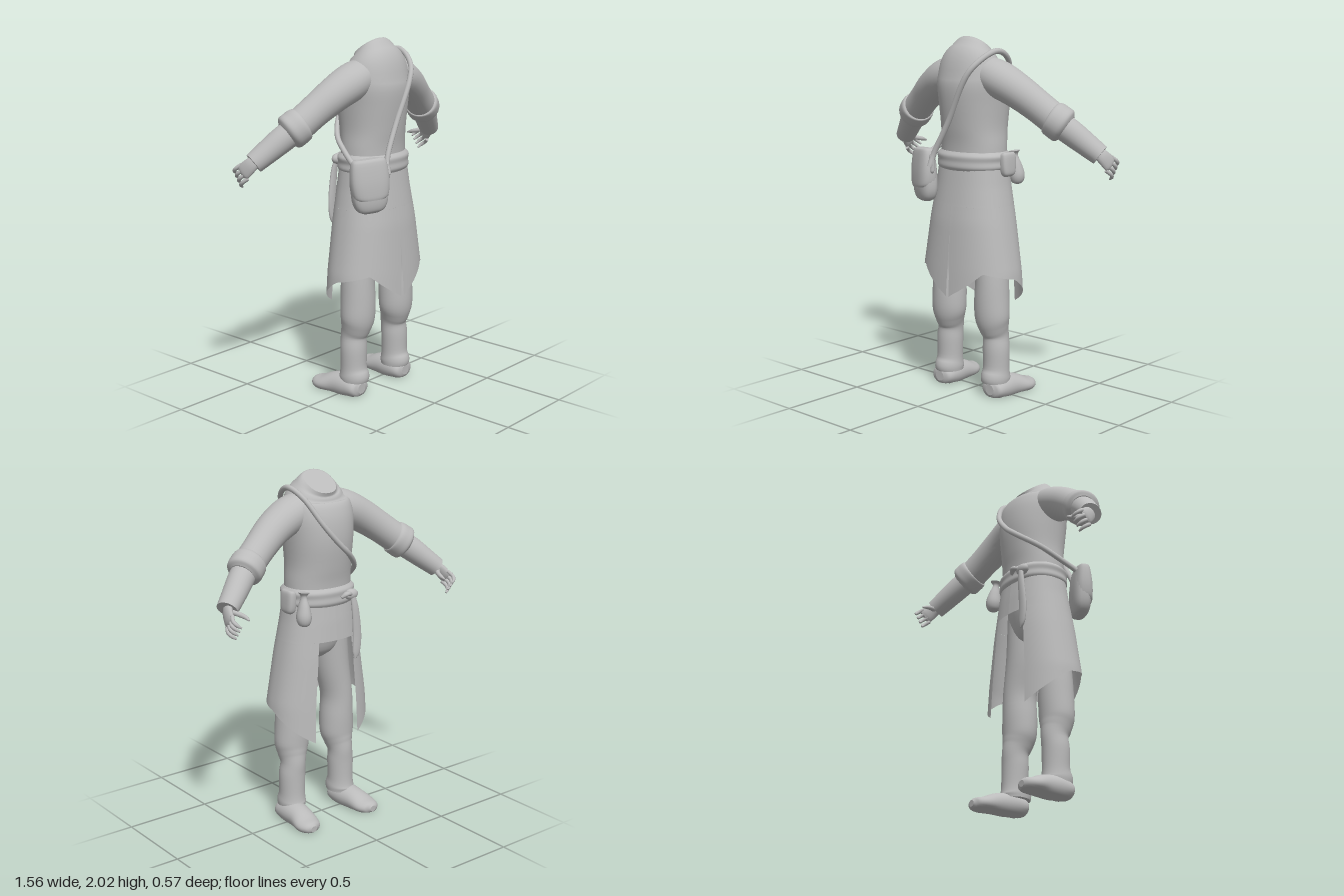
import * as THREE from 'three';

const cloth = new THREE.MeshStandardMaterial({ color: 0xbbbbbb, side: THREE.DoubleSide });
cloth.name = 'plain grey';

const V = (x, y, z) => new THREE.Vector3(x, y, z);
const X = V(1, 0, 0), Z = V(0, 0, 1);

// Smooth loft through rows [x, y, z, radiusU, radiusV]; U follows ref, power < 1 is boxier
function loft(rows, ref, { sides = 28, steps = 4, power = 1, floor = -9 } = {}) {
  const path = new THREE.CatmullRomCurve3(rows.map(r => V(r[0], r[1], r[2])), false, 'catmullrom');
  const radii = new THREE.CatmullRomCurve3(rows.map(r => V(r[3], r[4], 0)), false, 'catmullrom');
  const n = (rows.length - 1) * steps, pos = [], idx = [];
  const bend = a => Math.sign(a) * Math.pow(Math.abs(a), power);
  const ring = i => {
    const c = path.getPoint(i / n), r = radii.getPoint(i / n), t = path.getTangent(i / n);
    const u = ref.clone().addScaledVector(t, -ref.dot(t)).normalize(), v = t.clone().cross(u);
    for (let j = 0; j < sides; j++) {
      const a = j / sides * Math.PI * 2;
      const p = c.clone().addScaledVector(u, bend(Math.cos(a)) * r.x).addScaledVector(v, bend(Math.sin(a)) * r.y);
      pos.push(p.x, Math.max(p.y, floor), p.z);
    }
    return c;
  };
  for (let i = 0; i <= n; i++) ring(i);
  for (let i = 0; i < n; i++) for (let j = 0; j < sides; j++) {
    const k = (j + 1) % sides, a = i * sides + j, b = i * sides + k;
    idx.push(a, b, b + sides, a, b + sides, a + sides);
  }
  // end caps on their own vertices so the rim stays crisp
  for (const end of [0, n]) {
    const base = pos.length / 3, c = ring(end);
    pos.push(c.x, Math.max(c.y, floor), c.z);
    for (let j = 0; j < sides; j++) {
      const a = base + j, b = base + (j + 1) % sides;
      idx.push(base + sides, end ? a : b, end ? b : a);
    }
  }
  return build(pos, idx);
}

function build(pos, idx) {
  const g = new THREE.BufferGeometry();
  g.setAttribute('position', new THREE.Float32BufferAttribute(pos, 3));
  g.setIndex(idx);
  g.computeVertexNormals();
  return g;
}

// Linear lookup in a list of [key, ...values] with rising keys
function lookup(table, k, col = 1) {
  let i = 1;
  while (i < table.length - 1 && table[i][0] < k) i++;
  const a = table[i - 1], b = table[i];
  return THREE.MathUtils.lerp(a[col], b[col], THREE.MathUtils.clamp((k - a[0]) / (b[0] - a[0]), 0, 1));
}

// Coat outline: y, half width, back z, front z
const COAT = [
  [0.5, 0.325, 0.265, -0.16], [0.72, 0.31, 0.255, -0.152], [1.0, 0.262, 0.238, -0.145],
  [1.2, 0.225, 0.212, -0.13], [1.38, 0.2, 0.19, -0.11]
];
// Hem height by angle from the back seam, in degrees
const HEM = [[0, 0.58], [42, 0.73], [90, 0.69], [155, 0.51]];

function coatPanel(from, to, top, bottom, slit) {
  const cols = 40, rows = 14, pos = [], idx = [];
  for (let i = 0; i <= rows; i++) for (let j = 0; j <= cols; j++) {
    const deg = from + (to - from) * j / cols, a = deg * Math.PI / 180;
    const y = THREE.MathUtils.lerp(top, bottom(Math.abs(deg)), i / rows);
    const w = lookup(COAT, y), back = lookup(COAT, y, 2), front = lookup(COAT, y, 3);
    const mid = (back + front) / 2, s = Math.sin(a), c = Math.cos(a);
    let x = w * Math.sign(s) * Math.pow(Math.abs(s), 0.88);
    if (slit && j === 0) x = Math.sign(to) * Math.max(0, 0.94 - y) * 0.03;
    pos.push(x, y, mid + (back - front) / 2 * Math.sign(c) * Math.pow(Math.abs(c), 0.88));
  }
  for (let i = 0; i < rows; i++) for (let j = 0; j < cols; j++) {
    const a = i * (cols + 1) + j, b = a + 1, c = a + cols + 1, d = c + 1;
    if (to > from) idx.push(a, c, b, b, c, d);
    else idx.push(a, b, c, b, d, c);
  }
  return build(pos, idx);
}

export function createModel() {
  const model = new THREE.Group();
  model.name = 'headless coat figure';
  const add = (name, geometry, parent = model) => {
    const mesh = new THREE.Mesh(geometry, cloth);
    mesh.name = name;
    parent.add(mesh);
    return mesh;
  };

  // Torso up to the sloped neck opening
  add('torso', loft([
    [0, 1.32, 0.04, 0.2, 0.15], [0, 1.42, 0.038, 0.197, 0.155], [0, 1.52, 0.036, 0.19, 0.17],
    [0, 1.66, 0.036, 0.198, 0.186], [0, 1.78, 0.046, 0.205, 0.182], [0, 1.87, 0.055, 0.185, 0.148],
    [0, 1.93, 0.036, 0.135, 0.115], [0, 1.96, 0.015, 0.092, 0.094]
  ], X, { sides: 40, power: 0.92 }));

  // Coat skirt: yoke, then two panels open at the front and slit at the back
  add('coatYoke', coatPanel(-180, 180, 1.37, () => 1.09));
  for (const s of [1, -1])
    add(s > 0 ? 'leftCoatPanel' : 'rightCoatPanel', coatPanel(0, 155 * s, 1.09, d => lookup(HEM, d), true));

  // Rolled sash with knot and hanging tail
  add('sash', loft([
    [0, 1.285, 0.04, 0.205, 0.162], [0, 1.305, 0.04, 0.218, 0.172], [0, 1.335, 0.04, 0.215, 0.17],
    [0, 1.365, 0.04, 0.22, 0.172], [0, 1.388, 0.04, 0.2, 0.155]
  ], X, { sides: 40, power: 0.92 }));
  const knot = add('sashKnot', new THREE.SphereGeometry(0.035, 16, 12));
  knot.position.set(-0.11, 1.335, -0.125);
  knot.scale.set(1.3, 0.9, 0.8);
  add('sashTail', loft([
    [-0.11, 1.34, -0.135, 0.015, 0.012], [-0.125, 1.25, -0.145, 0.024, 0.012], [-0.14, 1.1, -0.145, 0.03, 0.012],
    [-0.135, 1.0, -0.145, 0.026, 0.011], [-0.125, 0.96, -0.145, 0.006, 0.006]
  ], X, { sides: 12 }));
  add('sashLoop', loft([
    [-0.1, 1.34, -0.14, 0.01, 0.01], [-0.06, 1.35, -0.15, 0.02, 0.014], [-0.03, 1.33, -0.14, 0.008, 0.008]
  ], Z, { sides: 12 }));

  add('pelvis', loft([
    [0, 1.3, 0.04, 0.18, 0.13], [0, 1.15, 0.05, 0.19, 0.125], [0, 1.02, 0.06, 0.15, 0.1], [0, 0.96, 0.065, 0.05, 0.05]
  ], X));

  for (const s of [1, -1]) {
    const side = s > 0 ? 'left' : 'right';
    const limb = (name, rows, ref, opts) => add(side + name, loft(rows.map(([x, ...r]) => [x * s, ...r]), ref, opts));

    // Sleeve, rolled cuff and forearm
    limb('Sleeve', [
      [0.07, 1.83, 0.055, 0.1, 0.09], [0.19, 1.79, 0.05, 0.112, 0.102], [0.31, 1.73, 0.03, 0.1, 0.095],
      [0.42, 1.655, -0.003, 0.088, 0.088], [0.52, 1.58, -0.035, 0.086, 0.086]
    ], Z);
    limb('Cuff', [
      [0.495, 1.6, -0.025, 0.08, 0.08], [0.507, 1.592, -0.03, 0.098, 0.095], [0.535, 1.57, -0.042, 0.1, 0.098],
      [0.563, 1.55, -0.055, 0.095, 0.096], [0.577, 1.54, -0.062, 0.07, 0.07]
    ], Z);
    limb('Forearm', [
      [0.53, 1.57, -0.035, 0.07, 0.07], [0.6, 1.515, -0.075, 0.07, 0.07], [0.67, 1.455, -0.115, 0.066, 0.063],
      [0.735, 1.4, -0.15, 0.06, 0.056]
    ], Z);

    // Hand with curled fingers
    limb('Palm', [
      [0.72, 1.415, -0.14, 0.025, 0.032], [0.742, 1.39, -0.165, 0.022, 0.042],
      [0.757, 1.355, -0.2, 0.017, 0.046], [0.76, 1.34, -0.214, 0.01, 0.036]
    ], X, { sides: 16 });
    for (let f = 0; f < 4; f++) {
      const y = 1.385 - f * 0.023, z = -0.225 + f * 0.016;
      limb('Finger' + (f + 1), [
        [0.755, y, z, 0.011, 0.011], [0.768, y - 0.022, z - 0.028, 0.011, 0.011],
        [0.758, y - 0.04, z - 0.05, 0.01, 0.01], [0.738, y - 0.055, z - 0.058, 0.005, 0.005]
      ], X, { sides: 10, steps: 3 });
    }
    limb('Thumb', [
      [0.73, 1.395, -0.165, 0.016, 0.016], [0.7, 1.38, -0.2, 0.014, 0.014],
      [0.685, 1.37, -0.24, 0.012, 0.012], [0.685, 1.36, -0.275, 0.005, 0.005]
    ], X, { sides: 10, steps: 3 });

    // Baggy trouser leg gathered below the knee
    limb('TrouserLeg', [
      [0.1, 1.15, 0.055, 0.095, 0.1], [0.125, 0.9, 0.068, 0.1, 0.102], [0.16, 0.7, 0.068, 0.092, 0.098],
      [0.163, 0.56, 0.07, 0.1, 0.098], [0.166, 0.46, 0.07, 0.102, 0.094], [0.17, 0.4, 0.06, 0.086, 0.086],
      [0.174, 0.345, 0.047, 0.072, 0.076], [0.179, 0.27, 0.05, 0.077, 0.076], [0.18, 0.16, 0.05, 0.075, 0.076],
      [0.18, 0.11, 0.055, 0.08, 0.09], [0.18, 0.08, 0.055, 0.078, 0.085]
    ], X);
    // Soft shoe with a flat sole
    limb('Shoe', [
      [0.195, 0.045, 0.125, 0.03, 0.03], [0.195, 0.045, 0.105, 0.07, 0.052], [0.196, 0.045, 0.03, 0.078, 0.07],
      [0.203, 0.04, -0.06, 0.073, 0.064], [0.215, 0.027, -0.14, 0.075, 0.045],
      [0.22, 0.025, -0.19, 0.055, 0.034], [0.22, 0.024, -0.212, 0.02, 0.018]
    ], X, { floor: 0 });
  }

  // Strap over the left shoulder, across the chest and round to the bag
  add('strap', loft([
    [-0.13, 1.3, 0.262], [-0.11, 1.39, 0.238], [-0.02, 1.56, 0.222], [0.09, 1.78, 0.222], [0.15, 1.88, 0.175],
    [0.185, 1.94, 0.06], [0.165, 1.89, -0.06], [0.1, 1.76, -0.137], [0.01, 1.65, -0.16], [-0.08, 1.57, -0.145],
    [-0.185, 1.48, -0.06], [-0.235, 1.41, 0.04], [-0.27, 1.35, 0.14]
  ].map(p => [...p, 0.015, 0.016]), V(0.75, 0.1, 0.65), { sides: 12, steps: 6 }));

  // Shoulder bag with flap and strap clip
  const bag = new THREE.Group();
  bag.name = 'shoulderBag';
  bag.position.set(-0.222, 1.25, 0.205);
  bag.rotation.set(0, -0.42, 0.06);
  model.add(bag);
  add('bagBody', loft([
    [0, 0.135, 0, 0.07, 0.02], [0, 0.12, 0, 0.095, 0.036], [0, 0.02, 0, 0.106, 0.05],
    [0, -0.08, 0, 0.102, 0.052], [0, -0.135, 0, 0.08, 0.042], [0, -0.155, 0, 0.045, 0.02]
  ], X, { power: 0.7 }), bag);
  add('bagFlap', loft([
    [0, 0.145, 0.005, 0.07, 0.022], [0, 0.128, 0.005, 0.1, 0.04], [0, 0.03, 0.006, 0.112, 0.054],
    [0, -0.05, 0.007, 0.104, 0.056], [0, -0.075, 0.007, 0.085, 0.053]
  ], X, { power: 0.7 }), bag);
  const clip = add('strapClip', new THREE.CapsuleGeometry(0.02, 0.07, 4, 12));
  clip.position.set(-0.128, 1.315, 0.25);
  clip.scale.z = 0.6;

  // Belt pouches on the left hip
  add('boxPouch', loft([
    [0.222, 1.385, 0.01, 0.015, 0.04], [0.224, 1.37, 0.01, 0.026, 0.052], [0.226, 1.31, 0.01, 0.028, 0.052],
    [0.226, 1.27, 0.01, 0.026, 0.044], [0.226, 1.254, 0.01, 0.012, 0.028]
  ], X, { power: 0.65 }));
  add('roundPouch', loft([
    [0.19, 1.385, -0.085, 0.03, 0.036], [0.192, 1.36, -0.087, 0.016, 0.02], [0.196, 1.31, -0.092, 0.03, 0.035],
    [0.2, 1.25, -0.098, 0.042, 0.045], [0.2, 1.21, -0.1, 0.032, 0.034], [0.2, 1.197, -0.1, 0.01, 0.01]
  ], X, { sides: 18 }));

  return model;
}
